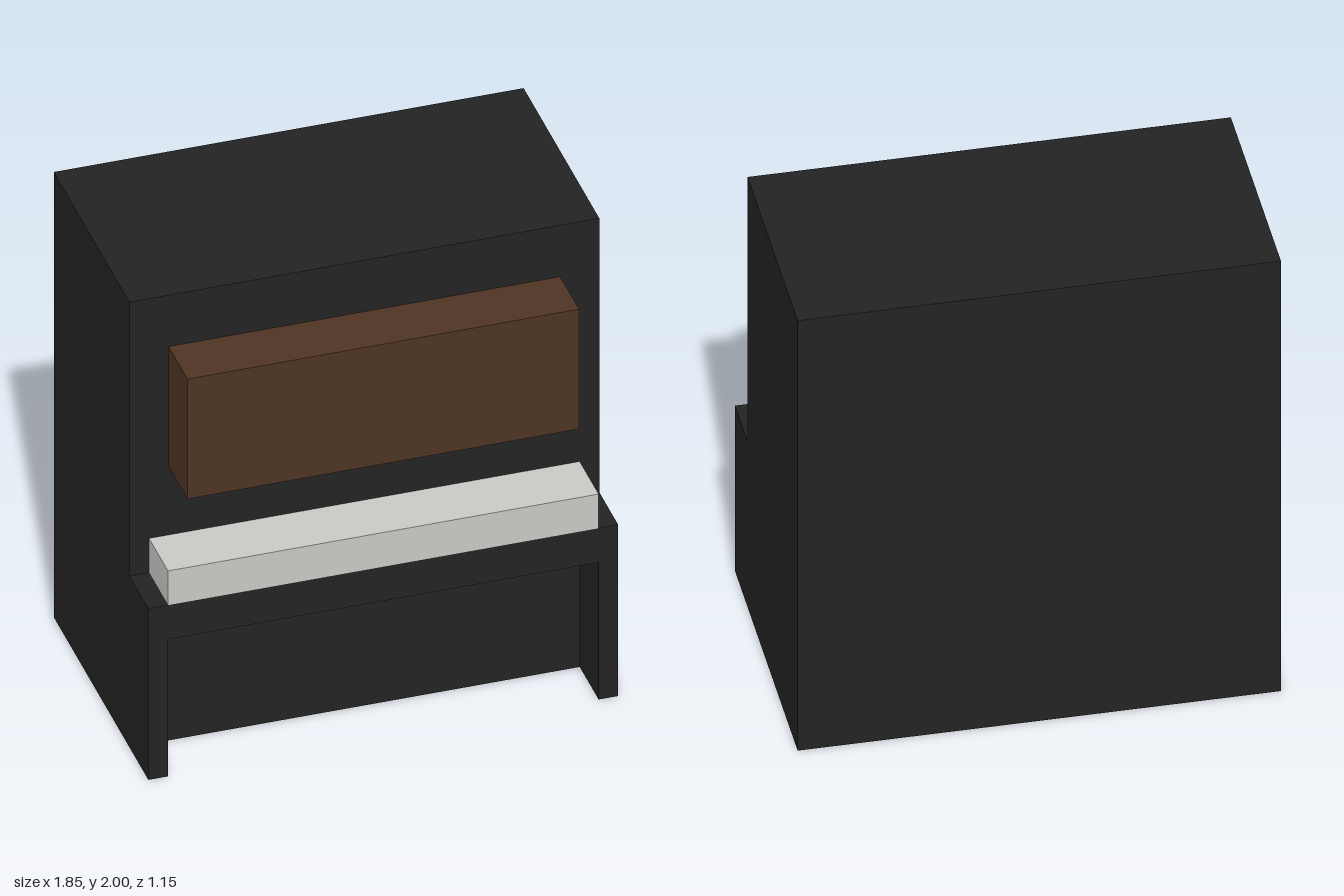
import * as THREE from 'three';

const U = 2 / 26; // the piano is laid out on a grid 26 units tall

const mat = (name, color) => {
  const m = new THREE.MeshStandardMaterial({ color });
  m.name = name;
  return m;
};

export function createModel() {
  const black = mat('black lacquer', 0x232323);
  const brown = mat('brown wood', 0x4e3423);
  const ivory = mat('ivory', 0xc8c9c4);
  const piano = new THREE.Group();
  piano.name = 'uprightPiano';

  // Box between two corners, in grid units
  const box = (name, material, [x0, y0, z0], [x1, y1, z1]) => {
    const mesh = new THREE.Mesh(
      new THREE.BoxGeometry((x1 - x0) * U, (y1 - y0) * U, (z1 - z0) * U), material);
    mesh.position.set((x0 + x1) / 2 * U, (y0 + y1) / 2 * U, (z0 + z1) / 2 * U);
    mesh.name = name;
    piano.add(mesh);
  };

  const back = -7.5, face = 4.5, front = 7.5;

  // Tall cabinet
  box('cabinet', black, [-12, 0, back], [12, 26, face]);

  // Key bed carried by two side legs
  box('keyBed', black, [-12, 8, face], [12, 10, front]);
  box('rightLeg', black, [-12, 0, face], [-11, 8, front]);
  box('leftLeg', black, [11, 0, face], [12, 8, front]);

  // Keyboard block and music desk
  box('keyboard', ivory, [-11, 10, face], [11, 12, front]);
  box('musicDesk', brown, [-10, 16, face], [10, 23, front]);

  return piano;
}
